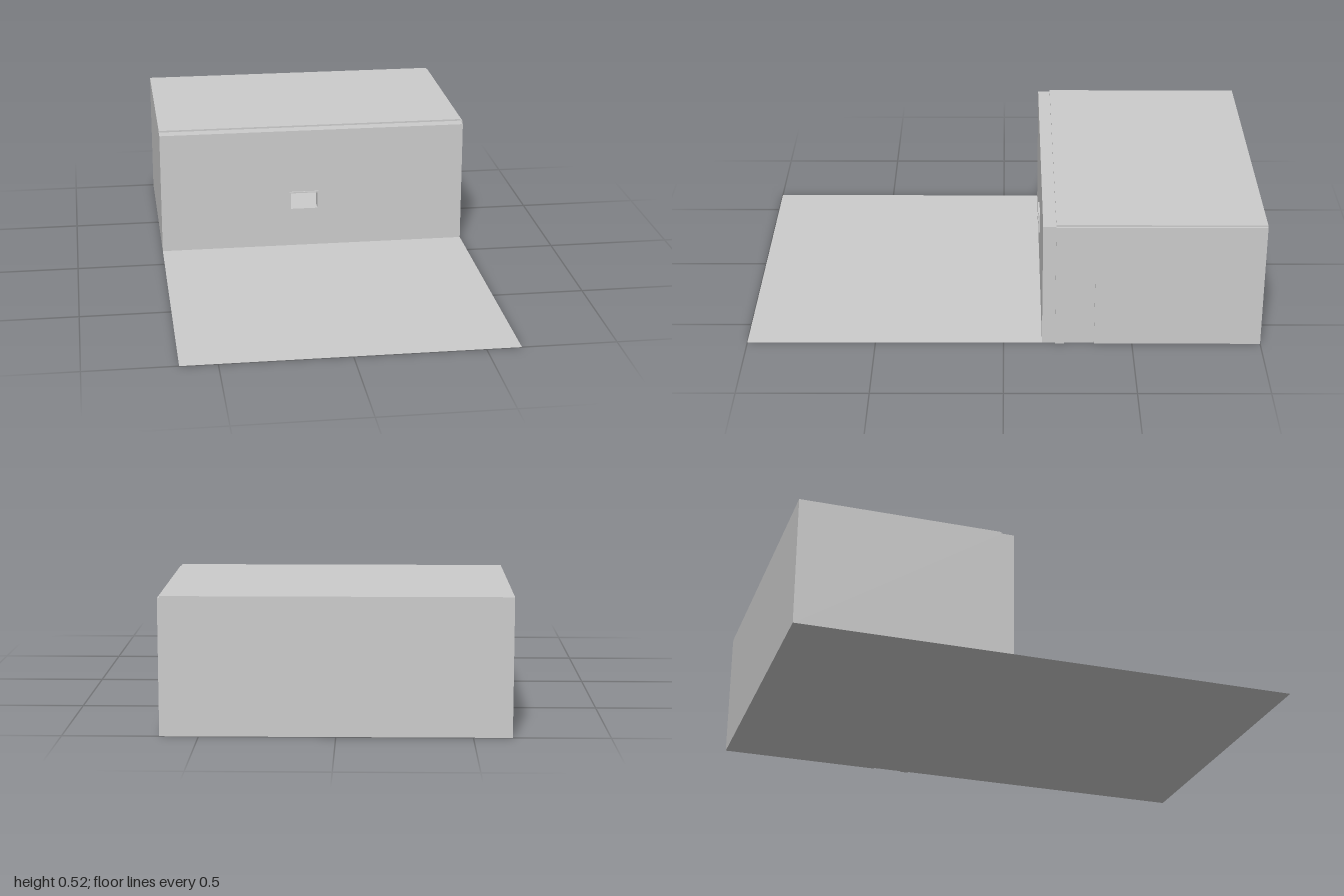
import * as THREE from 'three';

const material = new THREE.MeshStandardMaterial({ color: 0xcccccc, flatShading: true });
const groundMaterial = new THREE.MeshStandardMaterial({ color: 0xcccccc, side: THREE.DoubleSide });

// Box given by its two extremes on each axis
function block(name, [x0, x1], [y0, y1], [z0, z1]) {
  const mesh = new THREE.Mesh(new THREE.BoxGeometry(x1 - x0, y1 - y0, z1 - z0), material);
  mesh.name = name;
  mesh.position.set((x0 + x1) / 2, (y0 + y1) / 2, (z0 + z1) / 2);
  return mesh;
}

function rectangle(Type, x0, x1, y0, y1) {
  return new Type([[x0, y0], [x1, y0], [x1, y1], [x0, y1]].map(([x, y]) => new THREE.Vector2(x, y)));
}

function extrude(name, shape, depth) {
  const mesh = new THREE.Mesh(new THREE.ExtrudeGeometry(shape, { depth, bevelEnabled: false }), material);
  mesh.name = name;
  return mesh;
}

export function createModel() {
  const model = new THREE.Group();
  const left = -0.643, right = 0.635, outer = 0.643, wallTop = 0.51, t = 0.008;
  const front = -0.15, inner = -0.2, back = -1;

  // Flat plot under and in front of the building
  const ground = new THREE.Mesh(new THREE.PlaneGeometry(right - left, 2), groundMaterial);
  ground.name = 'ground';
  ground.rotation.x = -Math.PI / 2;
  ground.position.x = (left + right) / 2;
  model.add(ground);

  // Thick front wall with a window opening
  const win = [-0.103, 0.021, 0.162, 0.241], rim = 0.005;
  const opening = [win[0] + rim, win[1] - rim, win[2] + rim, win[3] - rim];
  const wallShape = rectangle(THREE.Shape, left, right, 0, wallTop);
  wallShape.holes.push(rectangle(THREE.Path, ...opening));
  const frontWall = extrude('frontWall', wallShape, front - inner);
  frontWall.position.z = inner;
  model.add(frontWall);

  // Slim raised frame around the window
  const frameShape = rectangle(THREE.Shape, ...win);
  frameShape.holes.push(rectangle(THREE.Path, ...opening));
  const windowFrame = extrude('windowFrame', frameShape, 0.007);
  windowFrame.position.z = front;
  model.add(windowFrame);

  // Thin side wall with a doorway notched out of its foot
  const doorBack = -0.352, doorFront = -0.235, doorTop = 0.28;
  const sideShape = new THREE.Shape([
    [back, 0], [doorBack, 0], [doorBack, doorTop], [doorFront, doorTop],
    [doorFront, 0], [inner, 0], [inner, wallTop], [back, wallTop],
  ].map(([z, y]) => new THREE.Vector2(z, y)));
  const doorWall = extrude('doorWall', sideShape, t);
  doorWall.rotation.y = -Math.PI / 2;
  doorWall.position.x = outer;
  model.add(doorWall);

  // Door panel set back in the doorway, remaining walls and roof slab
  model.add(
    block('door', [right - t, right + 0.001], [0, doorTop + 0.01], [doorBack - 0.01, doorFront + 0.01]),
    block('sideWall', [left, left + t], [0, wallTop], [back, inner]),
    block('backWall', [left + t, right], [0, wallTop], [back, back + t]),
    block('roof', [left, right], [wallTop, 0.517], [back, inner]),
  );
  return model;
}
